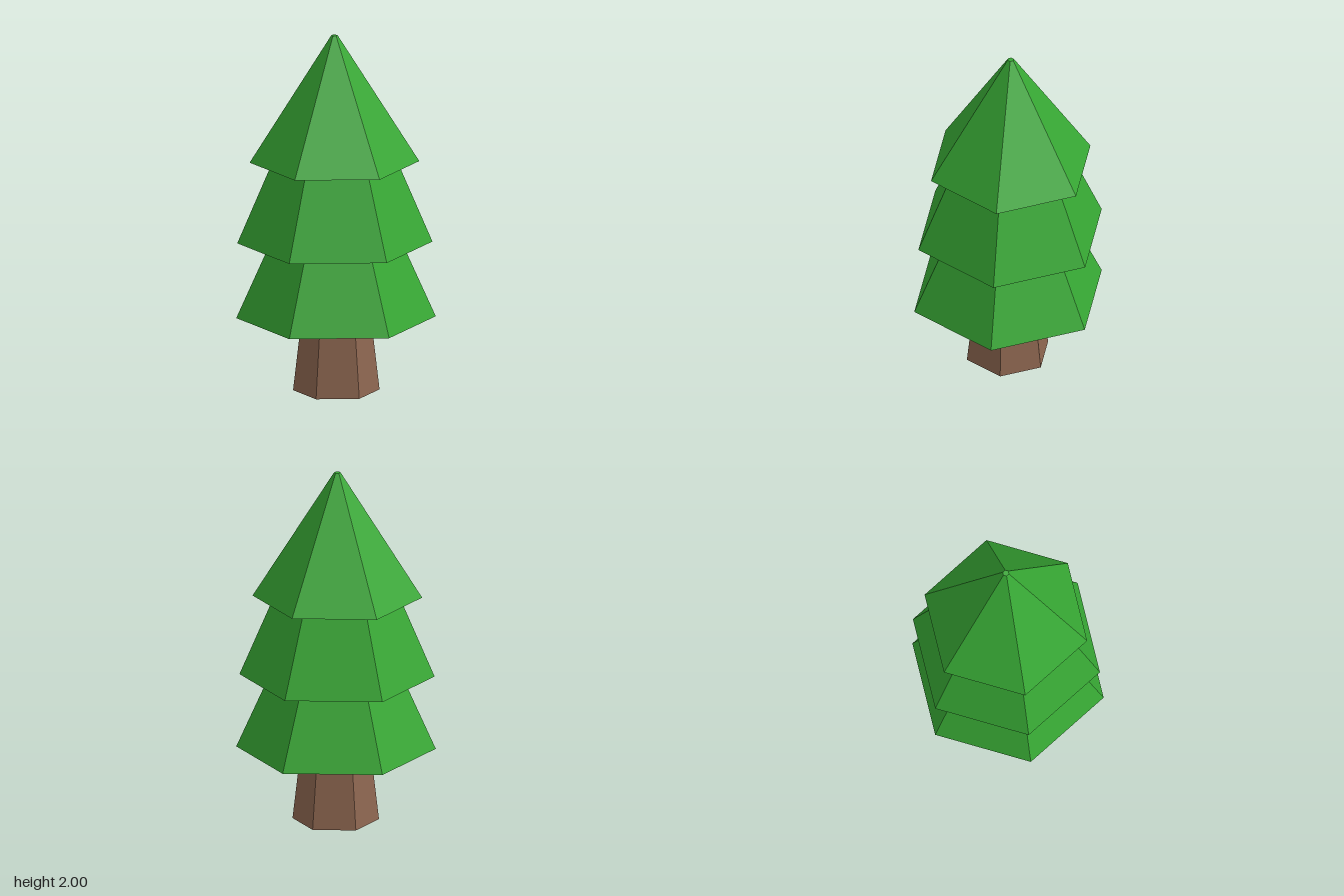
import * as THREE from 'three';

const SIDES = 6;

// A six-sided tapered block standing between two heights, with a corner facing +z.
function taperedHex(name, material, { bottom, top, y0, y1, z }) {
  const geometry = new THREE.CylinderGeometry(top, bottom, y1 - y0, SIDES);
  const mesh = new THREE.Mesh(geometry, material);
  mesh.name = name;
  mesh.position.set(0, (y0 + y1) / 2, z);
  return mesh;
}

export function createModel() {
  const bark = new THREE.MeshStandardMaterial({ color: 0x8d6650, flatShading: true });
  const leaves = new THREE.MeshStandardMaterial({ color: 0x37a834, flatShading: true });

  const tree = new THREE.Group();
  tree.name = 'pineTree';

  // Trunk
  tree.add(taperedHex('trunk', bark, { bottom: 0.237, top: 0.19, y0: 0, y1: 0.41, z: 0.005 }));

  // Foliage tiers, each set slightly off the trunk's axis
  const foliage = new THREE.Group();
  foliage.name = 'foliage';
  foliage.add(
    taperedHex('lowerTier', leaves, { bottom: 0.547, top: 0.361, y0: 0.41, y1: 0.83, z: 0.002 }),
    taperedHex('middleTier', leaves, { bottom: 0.535, top: 0.343, y0: 0.83, y1: 1.285, z: -0.01 }),
    taperedHex('topTier', leaves, { bottom: 0.465, top: 0.018, y0: 1.285, y1: 2, z: -0.014 }),
  );
  tree.add(foliage);

  return tree;
}
